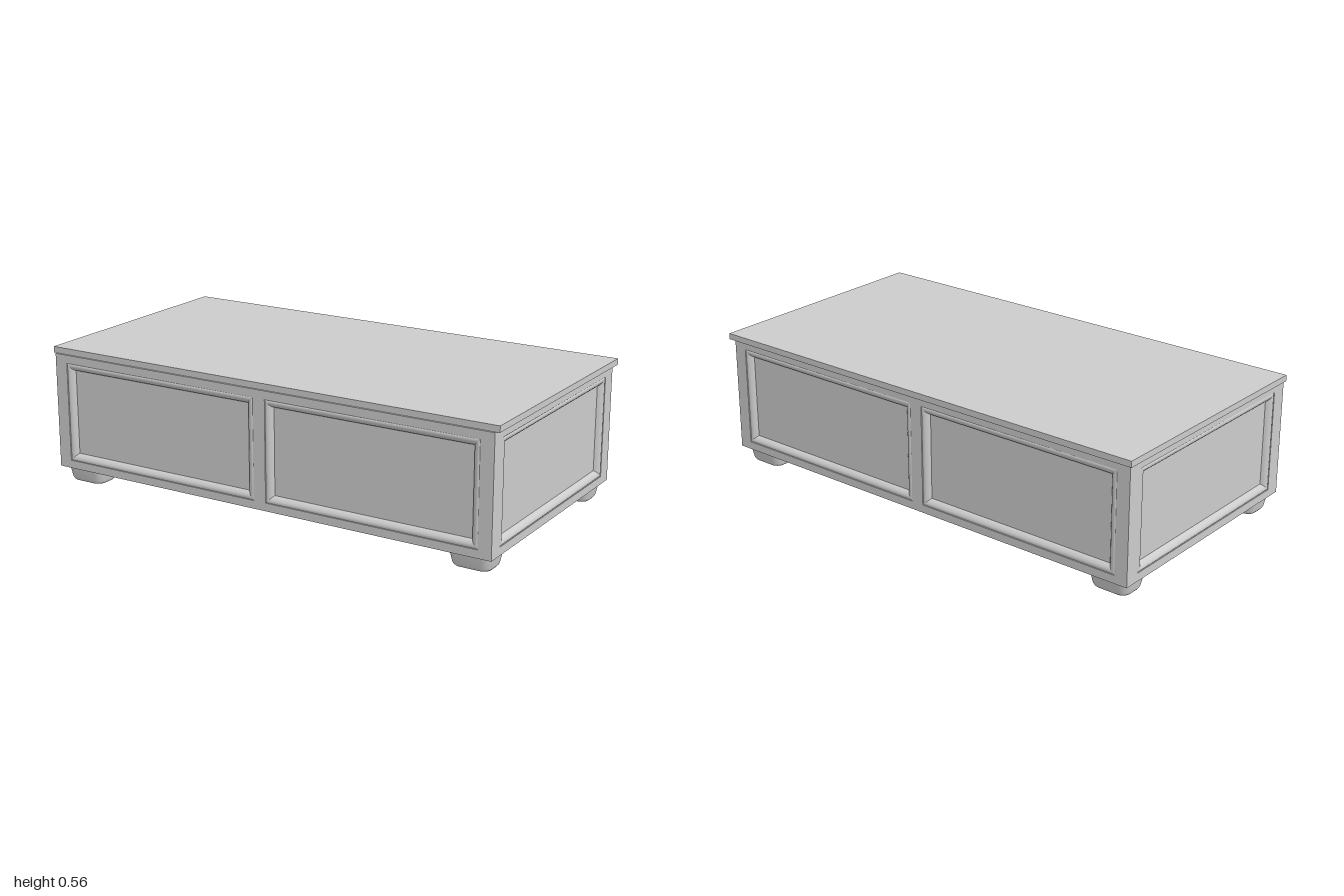
import * as THREE from 'three';

const grey = new THREE.MeshStandardMaterial({ color: 0xcccccc });
grey.name = 'greyPaint';

const Y0 = 0.063, Y1 = 0.54;           // bottom and top of the body
const HX = 0.985, HZ = 0.5105, CZ = 0.0085; // body half sizes and z centre
const WALL = 0.03, RECESS = 0.02;

function add(parent, name, geometry, x = 0, y = 0, z = 0) {
  const mesh = new THREE.Mesh(geometry, grey);
  mesh.name = name;
  mesh.position.set(x, y, z);
  parent.add(mesh);
  return mesh;
}

// Mitred bead: a rounded profile swept around a rectangle, sloping in to the panel
function beadGeometry(w, h) {
  const profile = [[0, 0.004], [0.003, 0.001], [0.008, 0], [0.014, 0.001],
    [0.02, 0.005], [0.026, 0.011], [0.03, RECESS]]; // [inset, depth]
  const corners = [[-1, -1], [1, -1], [1, 1], [-1, 1]];
  const pos = [], index = [];
  corners.forEach((a, i) => {
    const b = corners[(i + 1) % 4];
    const start = pos.length / 3;
    for (const [s, d] of profile)
      for (const c of [a, b]) pos.push(c[0] * (w / 2 - s), c[1] * (h / 2 - s), -d);
    for (let k = 0; k < profile.length - 1; k++) {
      const p = start + k * 2;
      index.push(p, p + 1, p + 3, p, p + 3, p + 2);
    }
  });
  const g = new THREE.BufferGeometry();
  g.setAttribute('position', new THREE.Float32BufferAttribute(pos, 3));
  g.setIndex(index);
  g.computeVertexNormals();
  return g;
}

// Framed wall with its outer face at local z = 0, looking to +z
function createWall(name, width, panelWidth, centres) {
  const wall = new THREE.Group();
  wall.name = name;
  const panelHeight = 0.41, panelY = 0.301;
  const shape = new THREE.Shape([
    new THREE.Vector2(-width / 2, Y0), new THREE.Vector2(width / 2, Y0),
    new THREE.Vector2(width / 2, Y1), new THREE.Vector2(-width / 2, Y1)]);
  for (const c of centres) {
    const l = c - panelWidth / 2, r = c + panelWidth / 2;
    const b = panelY - panelHeight / 2, t = panelY + panelHeight / 2;
    shape.holes.push(new THREE.Path([
      new THREE.Vector2(l, b), new THREE.Vector2(l, t),
      new THREE.Vector2(r, t), new THREE.Vector2(r, b)]));
    add(wall, 'panelMoulding', beadGeometry(panelWidth, panelHeight), c, panelY, 0);
    add(wall, 'recessedPanel', new THREE.BoxGeometry(panelWidth, panelHeight, 0.008),
      c, panelY, -RECESS - 0.004);
  }
  const frame = new THREE.ExtrudeGeometry(shape, { depth: WALL, bevelEnabled: false });
  add(wall, 'wallFrame', frame, 0, 0, -WALL);
  return wall;
}

// Tapered foot with rounded corners, lofted upwards through rounded rectangles
function footGeometry() {
  const levels = [[0, 0.066, 0.046], [0.002, 0.072, 0.052], [0.007, 0.076, 0.0565],
    [0.015, 0.079, 0.0595], [0.063, 0.0875, 0.0675], [0.078, 0.0875, 0.0675]]; // [y, half x, half z]
  const radius = 0.032, steps = 6, n = 4 * (steps + 1);
  const pos = [0, 0, 0], index = [];
  for (const [y, hx, hz] of levels) {
    for (let q = 0; q < 4; q++) {
      const sx = q === 0 || q === 3 ? 1 : -1, sz = q < 2 ? 1 : -1;
      for (let k = 0; k <= steps; k++) {
        const a = (q + k / steps) * Math.PI / 2;
        pos.push(sx * (hx - radius) + radius * Math.cos(a), y,
          sz * (hz - radius) + radius * Math.sin(a));
      }
    }
  }
  for (let i = 0; i < n; i++) {
    const j = (i + 1) % n;
    index.push(0, 1 + i, 1 + j);
    for (let l = 0; l < levels.length - 1; l++) {
      const a = 1 + l * n + i, b = 1 + l * n + j;
      index.push(a, a + n, b + n, a, b + n, b);
    }
  }
  const g = new THREE.BufferGeometry();
  g.setAttribute('position', new THREE.Float32BufferAttribute(pos, 3));
  g.setIndex(index);
  g.computeVertexNormals();
  return g;
}

export function createModel() {
  const model = new THREE.Group();
  model.name = 'coffeeTable';

  add(model, 'tableTop', new THREE.BoxGeometry(2, 0.025, 1.03), 0, Y1 + 0.0125, -0.004);

  // Body: two panels on the long walls, one on the short walls
  const body = new THREE.Group();
  body.name = 'body';
  body.position.z = CZ;
  model.add(body);
  for (const side of [1, -1]) {
    const long = createWall(side > 0 ? 'frontWall' : 'backWall', HX * 2, 0.902, [-0.478, 0.478]);
    long.position.z = side * HZ;
    long.rotation.y = side > 0 ? 0 : Math.PI;
    const short = createWall(side > 0 ? 'leftWall' : 'rightWall', (HZ - WALL) * 2, 0.89, [0]);
    short.position.x = side * HX;
    short.rotation.y = side * Math.PI / 2;
    body.add(long, short);
  }

  // Underside set slightly up inside the walls
  add(body, 'underside', new THREE.BoxGeometry((HX - WALL) * 2, 0.01, (HZ - WALL) * 2), 0, 0.08, 0);

  // Feet at the four corners
  const foot = footGeometry();
  for (const sx of [1, -1])
    for (const sz of [1, -1]) add(body, 'foot', foot, sx * 0.8825, 0, sz * 0.425);

  return model;
}
